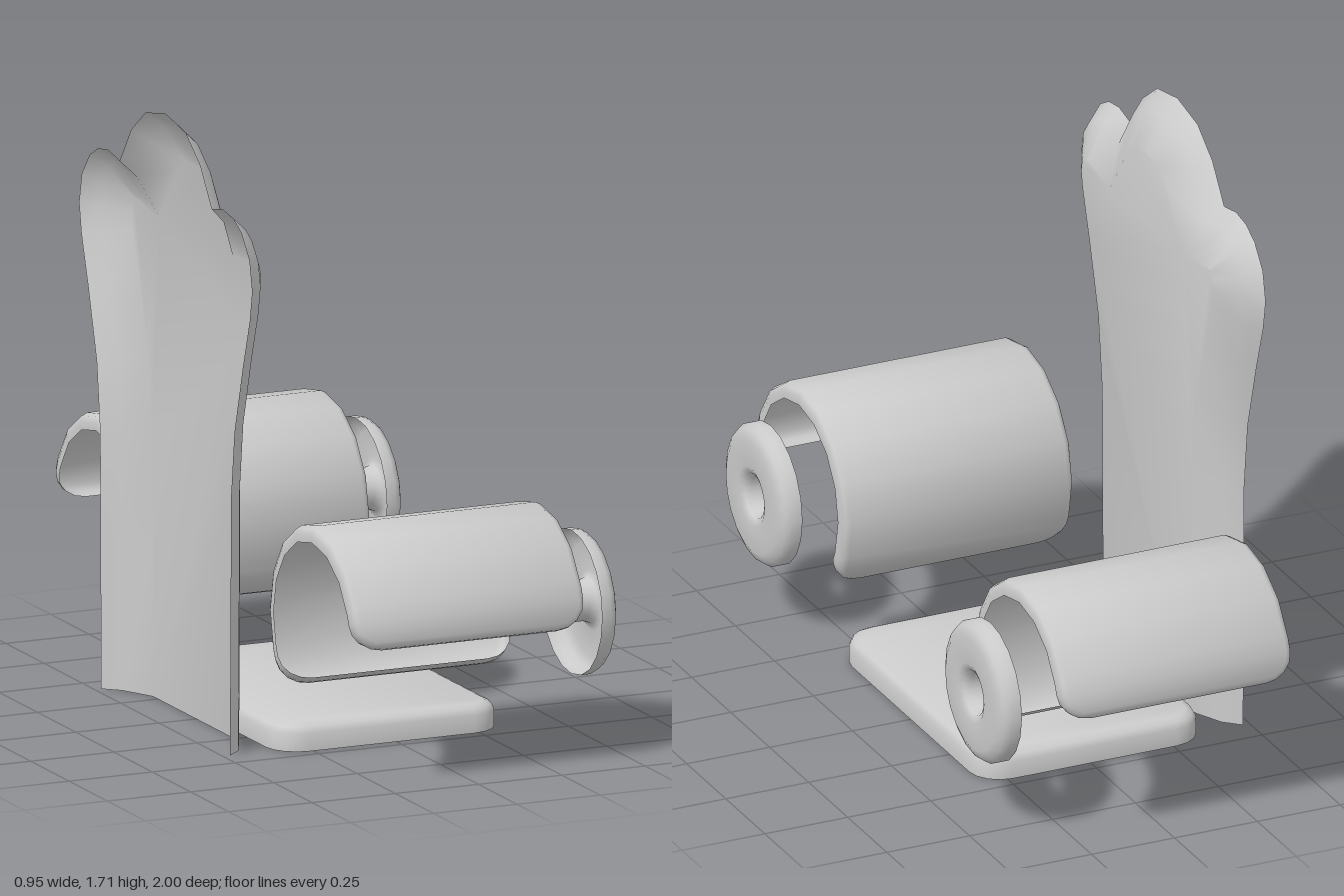
import * as THREE from 'three';
import { toCreasedNormals } from 'three/addons/utils/BufferGeometryUtils.js';

const material = new THREE.MeshStandardMaterial({ color: 0xcccccc, side: THREE.DoubleSide });

// Open-backed shell: matching loops of points from the rim to the face, then a cap.
function shell(layers, cap, closed = true) {
  const n = layers[0].length;
  const index = [];
  for (let l = 0; l < layers.length - 1; l++) {
    for (let i = 0; i < (closed ? n : n - 1); i++) {
      const j = (i + 1) % n, a = l * n, b = a + n;
      index.push(a + i, a + j, b + j, a + i, b + j, b + i);
    }
  }
  const top = (layers.length - 1) * n;
  cap.forEach((i) => index.push(top + i));
  const geo = new THREE.BufferGeometry();
  geo.setAttribute('position', new THREE.Float32BufferAttribute(layers.flat(2), 3));
  geo.setIndex(index);
  return toCreasedNormals(geo, 1.0);
}

// Rounded rectangle loop, anticlockwise, mirror-symmetric in x so rows can be paired.
function roundedLoop(halfW, halfH, r, rows) {
  const half = [], steps = 4;
  const corner = (from, sy) => {
    for (let k = 0; k <= steps; k++) {
      const a = from + (k / steps) * Math.PI / 2;
      half.push([halfW - r + r * Math.cos(a), sy * (halfH - r) + r * Math.sin(a)]);
    }
  };
  corner(-Math.PI / 2, -1);
  for (let k = 1; k < rows; k++) half.push([halfW, halfH * (2 * k / rows - 1)]);
  corner(0, 1);
  return mirrorLoop(half);
}

const mirrorLoop = (half) => [...half, ...half.map(([x, y]) => [-x, y]).reverse()];

// Cap made of strips between mirrored points.
function stripCap(n) {
  const cap = [];
  for (let i = 0; i < n / 2 - 1; i++) {
    const p = n - 1 - i;
    cap.push(i, i + 1, p - 1, i, p - 1, p);
  }
  return cap;
}

// Seat: shallow rounded tray, open below
function seatGeometry() {
  const layers = [[0, 0], [0, 0.05], [0.009, 0.067], [0.03, 0.077]].map(([inset, y]) =>
    roundedLoop(0.3375 - inset, 0.465 - inset, 0.09 - inset, 4).map(([x, s]) => [x, y, -s]));
  return shell(layers, stripCap(layers[0].length));
}

// Arm: rounded panel wrapped 225 degrees round a lengthwise axis
function armGeometry() {
  const R = 0.295, halfArc = R * Math.PI * 1.25 / 2;
  const layers = [[0, 0.25], [0, 0.272], [0.007, 0.288], [0.022, R]].map(([inset, r]) =>
    roundedLoop(0.3475 - inset, halfArc - inset, 0.085 - inset, 10).map(([x, s]) => {
      const a = (s + halfArc) / R;
      return [x, r * Math.sin(a), r * Math.cos(a)];
    }));
  return shell(layers, stripCap(layers[0].length));
}

// Move the points of the half outline inwards along their mitred normals.
function insetHalf(half, d) {
  return half.map(([x, y], i) => {
    const last = half.length - 1;
    if (i === 0) return [x - d, y];
    const p = half[i - 1];
    const q = i === last ? [-p[0], p[1]] : half[i + 1];
    const n1 = new THREE.Vector2(p[1] - y, x - p[0]).normalize();
    const n2 = new THREE.Vector2(y - q[1], q[0] - x).normalize();
    const m = n1.clone().add(n2).normalize();
    const len = d / Math.max(0.75, m.dot(n1));
    return [x + m.x * len, y + m.y * len];
  });
}

// Backrest: flared panel with a three-lobed crest, open behind and below
function backGeometry() {
  const half = [
    [0.42, 0], [0.425, 0.4], [0.427, 0.72], [0.45, 0.915], [0.505, 1.11], [0.55, 1.25],
    [0.565, 1.335], [0.547, 1.42], [0.495, 1.485], [0.44, 1.515], [0.375, 1.525],
    [0.3, 1.51], [0.225, 1.615], [0.13, 1.685], [0, 1.71],
  ];
  const loops = [0, 0.042, 0.14].map((d) => {
    const h = insetHalf(half, d);
    return [...h, ...h.slice(0, -1).map(([x, y]) => [-x, y]).reverse()];
  });
  const depth = [-0.48, -0.435, -0.388];
  const layers = loops.map((loop, l) => loop.map(([u, y]) => [depth[l], y, -u]));
  const face = loops[2].map(([u, y]) => new THREE.Vector2(u, y));
  return shell(layers, THREE.ShapeUtils.triangulateShape(face, []).flat(), false);
}

// Arm disc: domed ring with a centre hole, open behind
function discGeometry() {
  const profile = [
    [0.202, 0], [0.202, 0.028], [0.19, 0.047], [0.162, 0.06],
    [0.085, 0.06], [0.064, 0.05], [0.056, 0.03], [0.056, 0],
  ].map(([r, h]) => new THREE.Vector2(r, h));
  return new THREE.LatheGeometry(profile, 20).rotateZ(-Math.PI / 2);
}

export function createModel() {
  const model = new THREE.Group();
  model.name = 'armchair';
  const add = (name, geo, x, y, z, turn = 0) => {
    const mesh = new THREE.Mesh(geo, material);
    mesh.name = name;
    mesh.position.set(x, y, z);
    mesh.rotation.y = turn;
    model.add(mesh);
  };
  add('seat', seatGeometry(), -0.0125, 0, 0);
  add('backrest', backGeometry(), 0, 0, 0);
  const arm = armGeometry(), disc = discGeometry();
  for (const side of [1, -1]) {
    const label = side > 0 ? 'front' : 'rear';
    add(label + 'Arm', arm, -0.0175, 0.4, 0.705 * side, side > 0 ? 0 : Math.PI);
    add(label + 'ArmDisc', disc, 0.415, 0.404, 0.703 * side);
  }
  return model;
}
